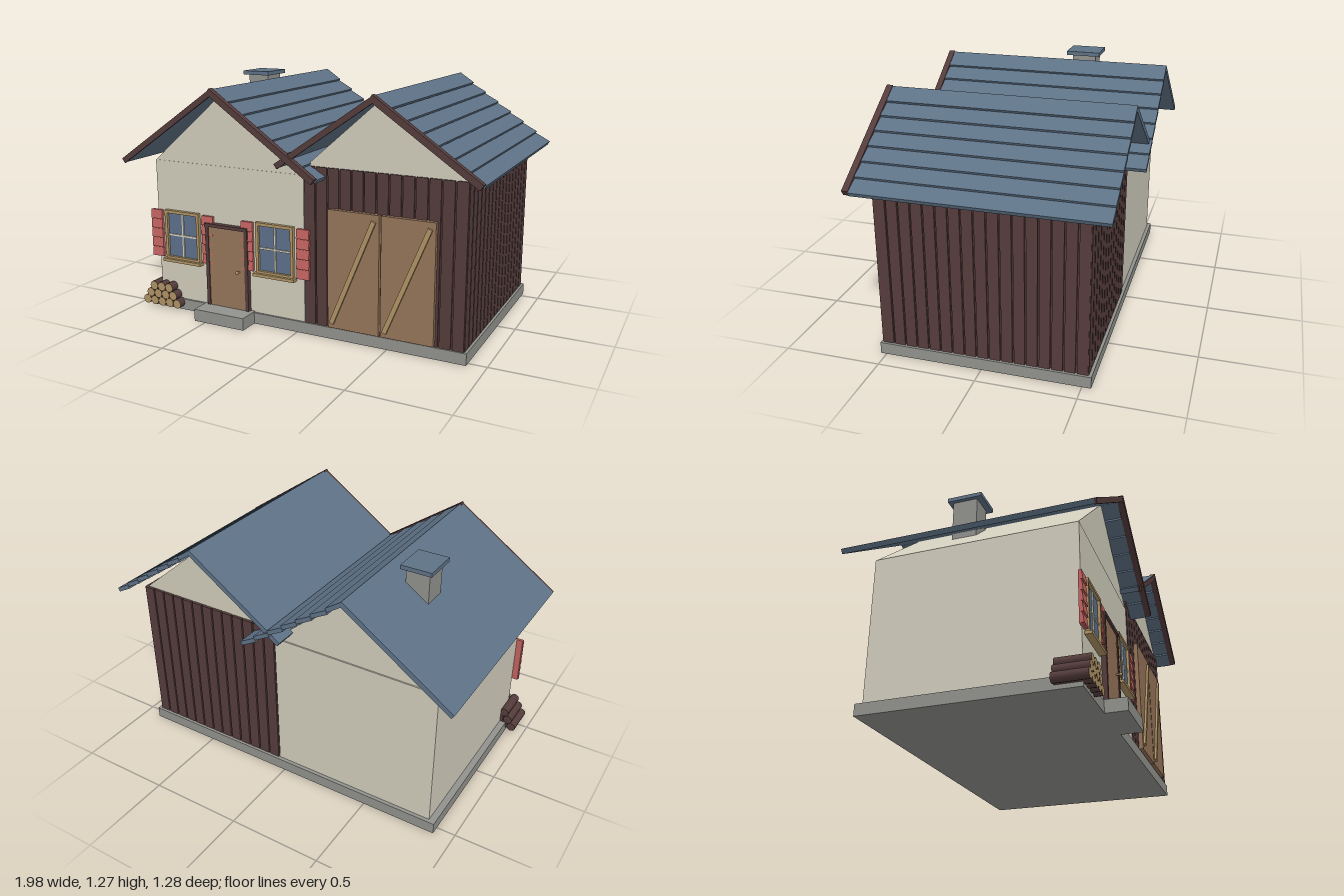
import * as THREE from 'three';

const mat = (name, color) => {
  const m = new THREE.MeshStandardMaterial({ color });
  m.name = name;
  return m;
};

export function createModel() {
  const plaster = mat('cream plaster', 0xd0ccbc);
  const timber = mat('dark timber', 0x553c3c);
  const slate = mat('slate blue', 0x5e7286);
  const glass = mat('window glass', 0x5c6f8a);
  const red = mat('shutter red', 0xc26260);
  const oak = mat('door wood', 0x95745a);
  const pale = mat('pale wood', 0xae9264);
  const stone = mat('grey stone', 0x91918d);

  const model = new THREE.Group();
  model.name = 'houseWithBarn';
  const group = (name, parent = model) => {
    const g = new THREE.Group();
    g.name = name;
    parent.add(g);
    return g;
  };
  const add = (parent, name, geometry, material) => {
    const m = new THREE.Mesh(geometry, material);
    m.name = name;
    parent.add(m);
    return m;
  };
  // Box given by its limits on each axis
  const box = (parent, name, material, x0, x1, y0, y1, z0, z1) => {
    const m = add(parent, name, new THREE.BoxGeometry(x1 - x0, y1 - y0, z1 - z0), material);
    m.position.set((x0 + x1) / 2, (y0 + y1) / 2, (z0 + z1) / 2);
    return m;
  };
  // Sloping slab whose top line runs from a to b (a is the left end)
  const slab = (parent, name, material, a, b, t, z0, z1) => {
    const dx = b[0] - a[0], dy = b[1] - a[1], ang = Math.atan2(dy, dx);
    const m = add(parent, name, new THREE.BoxGeometry(Math.hypot(dx, dy), t, z1 - z0), material);
    m.position.set((a[0] + b[0]) / 2 + Math.sin(ang) * t / 2, (a[1] + b[1]) / 2 - Math.cos(ang) * t / 2, (z0 + z1) / 2);
    m.rotation.z = ang;
    return m;
  };
  // Triangular loft filling the full depth
  const gable = (parent, x0, x1, y, apexX, apexY, depth) => {
    const s = new THREE.Shape([[x0, y], [x1, y], [apexX, apexY]].map(p => new THREE.Vector2(...p)));
    const g = new THREE.ExtrudeGeometry(s, { depth, bevelEnabled: false });
    g.translate(0, 0, -depth / 2);
    add(parent, 'gable', g, plaster);
  };

  // Foundation and doorstep
  box(model, 'foundation', stone, -0.9, 0.905, 0, 0.06, -0.545, 0.53);
  box(model, 'doorstep', stone, -0.565, -0.26, 0, 0.066, 0.5, 0.64);

  // House body
  const house = group('house');
  box(house, 'houseWalls', plaster, -0.865, 0.04, 0.06, 0.83, -0.525, 0.52);
  gable(house, -0.865, 0.04, 0.83, -0.42, 1.215, 1.036);

  // Barn body with vertical boards on front, back and right
  const barn = group('barn');
  box(barn, 'barnWalls', timber, 0.041, 0.882, 0.06, 0.878, -0.52, 0.514);
  gable(barn, 0.05, 0.885, 0.875, 0.455, 1.23, 1.03);
  const gap = 0.004, frontStep = 0.85 / 13, sideStep = 1.05 / 17;
  for (let i = 0; i < 13; i++) {
    const x = 0.042 + i * frontStep;
    box(barn, 'frontBoard', timber, x + gap, x + frontStep - gap, 0.06, 0.88, 0.51, 0.523);
    box(barn, 'backBoard', timber, x + gap, x + frontStep - gap, 0.06, 0.88, -0.53, -0.515);
  }
  for (let i = 0; i < 17; i++) {
    const z = -0.53 + i * sideStep;
    box(barn, 'sideBoard', timber, 0.875, 0.892, 0.06, 0.88, z + gap, z + sideStep - gap);
  }

  // Roofs: plain left slope, overlapping courses on the right, barge boards in front
  const roof = (name, ridge, left, right, back, front) => {
    const g = group(name);
    slab(g, 'leftSlope', slate, left, ridge, 0.026, back, front - 0.01);
    const n = 7;
    const at = (i, drop) => [
      ridge[0] + (right[0] - ridge[0]) * i / n,
      ridge[1] + (right[1] - ridge[1]) * i / n - drop];
    for (let i = 0; i < n; i++)
      slab(g, 'roofCourse', slate, at(i, i ? 0.012 : 0.002), at(i + 1.04, 0), 0.022, back, front - 0.03);
    slab(g, 'leftBargeBoard', timber, left, ridge, 0.029, front - 0.012, front);
    slab(g, 'rightBargeBoard', timber, at(-0.03, -0.003), at(n, -0.003), 0.032, front - 0.031, front + 0.001);
  };
  roof('houseRoof', [-0.42, 1.24], [-0.995, 0.845], [0.16, 0.838], -0.645, 0.638);
  roof('barnRoof', [0.455, 1.255], [-0.067, 0.895], [0.985, 0.893], -0.632, 0.625);

  // Chimney
  const chimney = group('chimney');
  box(chimney, 'chimneyStack', stone, -0.645, -0.52, 0.95, 1.248, -0.222, -0.088);
  box(chimney, 'chimneyCap', slate, -0.665, -0.5, 1.245, 1.267, -0.247, -0.057);

  // Windows with shutters
  for (const cx of [-0.7, -0.125]) {
    const w = group('window');
    box(w, 'glass', glass, cx - 0.095, cx + 0.095, 0.3, 0.545, 0.515, 0.526);
    for (const s of [-1, 1]) {
      const x = cx + s * 0.102;
      box(w, 'frameSide', pale, x - 0.008, x + 0.008, 0.29, 0.56, 0.515, 0.54);
      const sx = cx + s * 0.165;
      box(w, 'shutterPanel', red, sx - 0.033, sx + 0.033, 0.292, 0.555, 0.518, 0.533);
      for (let i = 0; i < 5; i++) {
        const slat = box(w, 'shutterSlat', red, sx - 0.036, sx + 0.036, 0.293 + i * 0.053, 0.342 + i * 0.053, 0.526, 0.538);
        slat.rotation.x = -0.12;
      }
    }
    box(w, 'frameTop', pale, cx - 0.11, cx + 0.11, 0.545, 0.561, 0.515, 0.541);
    box(w, 'frameBottom', pale, cx - 0.11, cx + 0.11, 0.288, 0.302, 0.515, 0.541);
    box(w, 'sill', pale, cx - 0.122, cx + 0.122, 0.274, 0.29, 0.515, 0.556);
    box(w, 'uprightBar', plaster, cx - 0.005, cx + 0.005, 0.3, 0.548, 0.52, 0.532);
    box(w, 'crossBar', plaster, cx - 0.096, cx + 0.096, 0.418, 0.428, 0.52, 0.532);
  }

  // House door
  const door = group('houseDoor');
  box(door, 'doorTop', timber, -0.545, -0.284, 0.503, 0.521, 0.515, 0.55);
  box(door, 'doorPostLeft', timber, -0.304, -0.284, 0.062, 0.505, 0.515, 0.545);
  box(door, 'doorPostRight', timber, -0.545, -0.525, 0.062, 0.505, 0.515, 0.545);
  box(door, 'doorLeaf', oak, -0.527, -0.302, 0.066, 0.504, 0.515, 0.54);
  const knob = add(door, 'doorKnob', new THREE.SphereGeometry(0.009, 12, 8), pale);
  knob.position.set(-0.34, 0.277, 0.562);
  box(door, 'knobStem', pale, -0.344, -0.336, 0.273, 0.281, 0.535, 0.56);

  // Barn doors with diagonal braces
  for (const x of [0.185, 0.47]) {
    const d = group('barnDoor', barn);
    box(d, 'barnDoorLeaf', oak, x, x + 0.275, 0.068, 0.68, 0.515, 0.545);
    slab(d, 'doorBrace', pale, [x + 0.012, 0.1], [x + 0.238, 0.652], 0.024, 0.54, 0.557);
  }

  // Stacked firewood
  const logs = group('firewood');
  for (let row = 0; row < 3; row++) {
    for (let i = 0; i < 5 - row; i++) {
      const x = -0.934 + row * 0.025 + i * 0.05, y = 0.04 + row * 0.043;
      const log = add(logs, 'log', new THREE.CylinderGeometry(0.025, 0.025, 0.168, 12), [timber, pale, timber]);
      log.rotation.x = Math.PI / 2;
      log.position.set(x, y, 0.486);
    }
  }
  return model;
}
